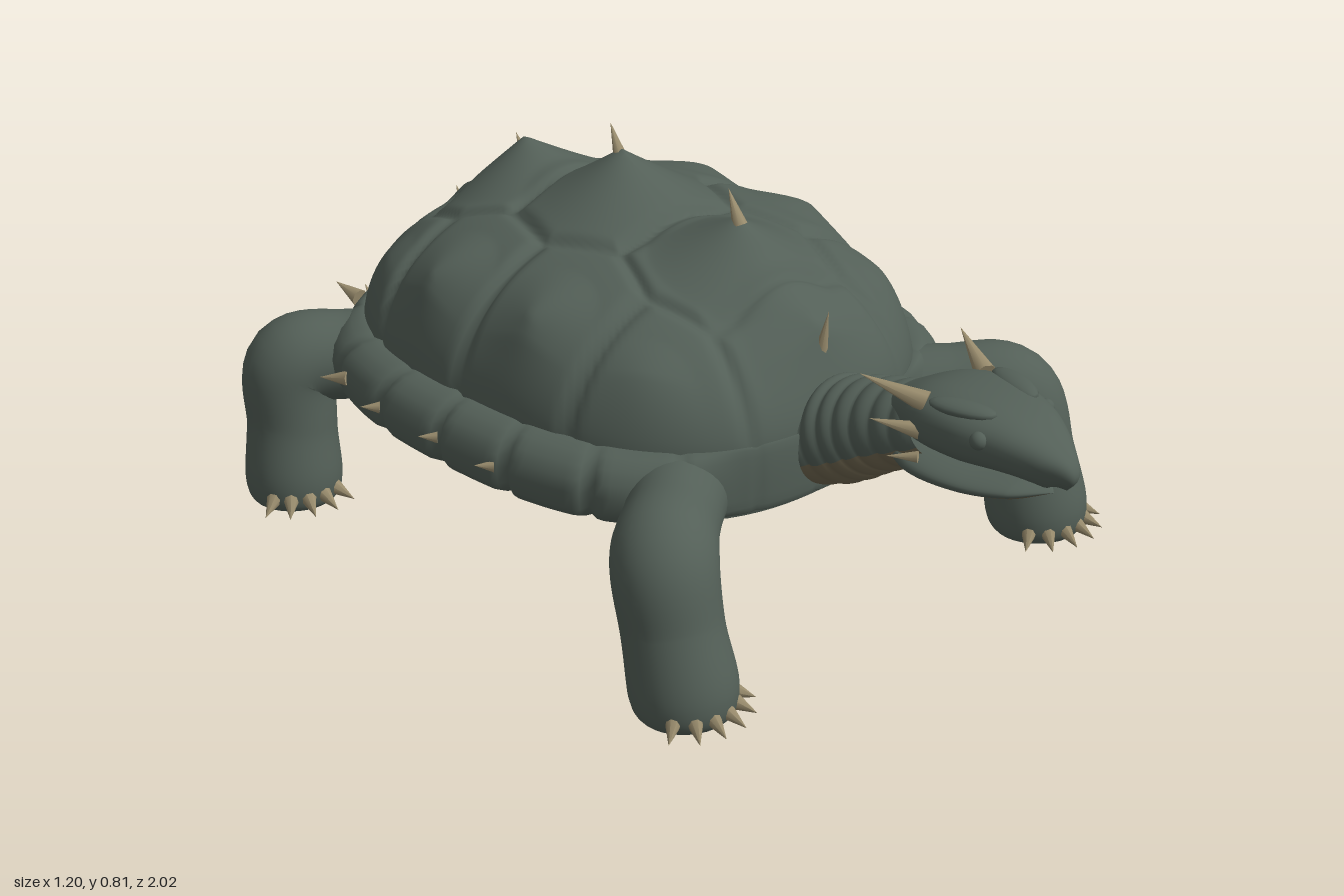
import * as THREE from 'three';

const mat = (name, color) => {
  const m = new THREE.MeshStandardMaterial({ color });
  m.name = name;
  return m;
};
const V = (x, y, z) => new THREE.Vector3(x, y, z);
const pow = (n, e) => Math.sign(n) * Math.abs(n) ** e;

// Grid surface: rows along u, rings along v (optionally closed)
function surface(fn, nu, nv, closed = true) {
  const pos = [], idx = [], cols = closed ? nv : nv + 1;
  for (let i = 0; i <= nu; i++)
    for (let j = 0; j < cols; j++) pos.push(...fn(i / nu, j / nv));
  for (let i = 0; i < nu; i++)
    for (let j = 0; j < nv; j++) {
      const k = (j + 1) % cols, a = i * cols + j, b = i * cols + k;
      idx.push(a, b, a + cols, b, b + cols, a + cols);
    }
  const g = new THREE.BufferGeometry();
  g.setAttribute('position', new THREE.Float32BufferAttribute(pos, 3));
  g.setIndex(idx);
  g.computeVertexNormals();
  return g;
}

// Tapered tube through [x, y, z, rx, ry] stations; round < 1 gives a boxier section
function limb(st, { ref = V(0, 1, 0), seg = 40, sides = 28, rings = 0, from = 0, to = 360, round = 1 } = {}) {
  const path = new THREE.CatmullRomCurve3(st.map(p => V(p[0], p[1], p[2])));
  const size = new THREE.CatmullRomCurve3(st.map((p, i) => V(p[3], p[4] ?? p[3], i * 0.1)));
  return surface((u, v) => {
    const c = path.getPoint(u), t = path.getTangent(u), r = size.getPoint(u);
    const side = ref.clone().cross(t).normalize(), up = t.clone().cross(side);
    const a = THREE.MathUtils.degToRad(from + (to - from) * v);
    const k = rings ? 1 + 0.07 * (Math.abs(Math.sin(u * rings * Math.PI)) - 0.5) : 1;
    c.addScaledVector(side, Math.max(0, r.x) * k * pow(Math.cos(a), round));
    c.addScaledVector(up, Math.max(0, r.y) * k * pow(Math.sin(a), round));
    return [c.x, c.y, c.z];
  }, seg, sides, to - from === 360);
}

// Rounded-rectangle outline of the shell
const A = 0.445, B = 0.55, ZC = -0.085, N = 2.6;
function outline(th) {
  const c = Math.cos(th), s = Math.sin(th);
  const k = (Math.abs(c) ** N + Math.abs(s) ** N) ** (-1 / N);
  return [k * c, k * s];
}

// Scute centres: x, z, bump height, bump radius
const scutes = [[0, 0.4, 0.05, 0.15], [0, 0.195, 0.085, 0.17], [0, -0.12, 0.105, 0.2],
  [0, -0.4, 0.085, 0.17], [0, -0.59, 0.05, 0.1]];
const plates = [];
for (const s of [1, -1]) {
  for (const z of [0.31, 0.03, -0.25, -0.5]) scutes.push([0.375 * s, z, 0.04, 0.13]);
  for (const z of [0.36, 0.18, 0, -0.18, -0.36, -0.52]) {
    plates.push([0.12 * s, z], [0.34 * s, z - 0.05]);
  }
}
// Seam strength between neighbouring cells
function seam(cells, x, z) {
  const d = cells.map(c => Math.hypot(x - c[0], z - c[1])).sort((a, b) => a - b);
  return Math.exp(-(((d[1] - d[0]) / 0.026) ** 2));
}
function shellPoint(r, th) {
  const [ox, oz] = outline(th);
  const x = A * r * ox, z = ZC + B * r * oz;
  const p = 2.7 + 0.15 * Math.cos(th) ** 2;
  let y = 0.37 + 0.285 * Math.max(0, 1 - r ** p) ** 0.53;
  for (const [cx, cz, h, w] of scutes)
    y += h * Math.max(0, 1 - Math.hypot(x - cx, z - cz) / w) ** 1.3 * Math.min(1, (1 - r) * 10);
  const g = seam(scutes, x, z);
  return [x * (1 - 0.018 * g), y - 0.014 * g, z];
}

export function createModel() {
  const model = new THREE.Group();
  const skin = mat('grey green hide', 0x535f57), throat = mat('throat tan', 0x706750);
  const belly = mat('belly plate tan', 0x8a7f68), horn = mat('horn', 0x9a8d6e);
  const add = (name, geo, m) => {
    const mesh = new THREE.Mesh(geo, m);
    mesh.name = name;
    model.add(mesh);
    return mesh;
  };
  const spike = (name, base, tip, r) => {
    const a = V(...base), d = V(...tip).sub(a), len = d.length();
    const m = add(name, new THREE.ConeGeometry(r, len, 8), horn);
    m.position.copy(a).addScaledVector(d, 0.5);
    m.quaternion.setFromUnitVectors(V(0, 1, 0), d.normalize());
  };
  const TAU = Math.PI * 2;

  // Domed shell
  add('shell', surface((u, v) => shellPoint(1 - (1 - u) ** 1.3, v * TAU), 64, 240), skin);

  // Scalloped rim scutes, sloping outward from the dome
  add('shellRim', surface((u, v) => {
    const th = u * TAU, [ox, oz] = outline(th), f = v * TAU;
    const c = Math.cos(f), s = Math.sin(f);
    const b = 0.72 + 0.28 * Math.min(1, 3 * Math.abs(Math.sin(11 * th)));
    const w = (0.008 + 0.067 * THREE.MathUtils.smoothstep(Math.abs(Math.cos(th)), 0.45, 0.85)) * b;
    const out = w * pow(c, s > 0 ? 1 : 0.7);
    return [A * ox + out * Math.cos(th), 0.33 + 0.068 * (0.8 + 0.2 * b) * pow(s, s > 0 ? 1 : 0.7),
      ZC + B * oz + out * Math.sin(th)];
  }, 264, 16), skin);

  // Body wall under the rim, and the plated bowl of the underside
  add('bodyWall', surface((u, v) => {
    const [ox, oz] = outline(v * TAU), k = 1 - 0.04 * u * u;
    return [A * k * ox, 0.38 - 0.135 * u, ZC + B * k * oz];
  }, 8, 96), skin);
  add('underside', surface((u, v) => {
    const [ox, oz] = outline(-v * TAU), k = 0.96 * u;
    const x = A * k * ox, z = ZC + B * k * oz;
    return [x, 0.163 + 0.087 * u ** 4 + 0.012 * seam(plates, x, z) * (1 - u ** 8), z];
  }, 48, 160), belly);

  // Neck, tail and jaw, each with a hide back and a tan underside
  const neck = [[0, 0.34, 0.34, 0.13, 0.1], [0, 0.375, 0.47, 0.112, 0.1], [0, 0.425, 0.58, 0.1, 0.085],
    [0, 0.48, 0.71, 0.088, 0.068]];
  const tail = [[0, 0.31, -0.52, 0.1], [0, 0.275, -0.67, 0.078], [0, 0.19, -0.84, 0.042], [0, 0.105, -1, 0]];
  const jaw = [[0, 0.435, 0.62, 0.06, 0.03], [0, 0.422, 0.71, 0.098, 0.032], [0, 0.42, 0.82, 0.092, 0.025],
    [0, 0.427, 0.91, 0.06, 0.017], [0, 0.434, 0.97, 0, 0]];
  for (const [name, st, rings] of [['neck', neck, 9], ['tail', tail, 12], ['jaw', jaw, 0]]) {
    add(name, limb(st, { rings, seg: 96, from: -22, to: 202 }), skin);
    add(name + 'Underside', limb(st, { rings, seg: 96, from: 202, to: 338 }), throat);
  }

  // Boxy head with a blunt beak, the mouth slightly open
  add('skull', limb([[0, 0.49, 0.64, 0.06, 0.04], [0, 0.515, 0.73, 0.105, 0.057], [0, 0.519, 0.82, 0.11, 0.06],
    [0, 0.512, 0.9, 0.086, 0.053], [0, 0.49, 0.96, 0.052, 0.042], [0, 0.467, 0.99, 0.022, 0.034],
    [0, 0.45, 0.998, 0, 0]], { round: 0.78, sides: 36 }), skin);
  for (const s of [1, -1]) {
    const eye = add('eye', new THREE.SphereGeometry(0.017, 14, 10), skin);
    eye.position.set(0.09 * s, 0.532, 0.87);
    const brow = add('brow', new THREE.SphereGeometry(1, 16, 10), skin);
    brow.scale.set(0.026, 0.014, 0.065);
    brow.position.set(0.07 * s, 0.567, 0.815);
    brow.rotation.y = -0.3 * s;
    spike('crownHorn', [0.08 * s, 0.555, 0.74], [0.135 * s, 0.592, 0.63], 0.021);
    spike('cheekHorn', [0.095 * s, 0.505, 0.74], [0.145 * s, 0.52, 0.665], 0.017);
    spike('jawHorn', [0.085 * s, 0.445, 0.73], [0.115 * s, 0.44, 0.68], 0.011);
  }

  // Legs with claws
  const legs = [
    ['front', [[0.22, 0.29, 0.28, 0.1], [0.37, 0.3, 0.4, 0.09], [0.467, 0.285, 0.48, 0.098], [0.485, 0.17, 0.52, 0.094],
      [0.487, 0.06, 0.55, 0.1], [0.487, 0.015, 0.555, 0.083], [0.487, 0, 0.555, 0]],
      V(-0.62, 0, 0.78), [-58, -35, -12, 10, 32, 56], [0.487, 0.55]],
    ['rear', [[0.22, 0.29, -0.4], [0.36, 0.3, -0.53], [0.455, 0.29, -0.59], [0.472, 0.17, -0.585],
      [0.482, 0.06, -0.575], [0.482, 0.015, -0.575], [0.482, 0, -0.575]].map((p, i) =>
      [...p, [0.1, 0.09, 0.095, 0.09, 0.097, 0.082, 0][i]]),
      V(0.7, 0, 0.7), [-25, -2, 20, 42, 64], [0.482, -0.575]],
  ];
  for (const s of [1, -1])
    for (const [name, st, ref, angles, [fx, fz]] of legs) {
      add(name + 'Leg', limb(st.map(([x, ...rest]) => [x * s, ...rest]),
        { ref: V(ref.x * s, 0, ref.z), seg: 54, sides: 32 }), skin);
      for (const deg of angles) {
        const a = THREE.MathUtils.degToRad(deg), dx = Math.sin(a), dz = Math.cos(a);
        spike(name + 'Claw', [(fx + dx * 0.08) * s, 0.05, fz + dz * 0.08],
          [(fx + dx * 0.133) * s, 0.024, fz + dz * 0.133], 0.02);
      }
    }

  // Spikes down the middle of the shell: z, base y, tip y
  for (const [z, y0, y1] of [[0.41, 0.5, 0.6], [0.2, 0.7, 0.765], [-0.12, 0.735, 0.805],
    [-0.395, 0.65, 0.705], [-0.585, 0.46, 0.535]])
    spike('shellSpike', [0, y0, z], [0, y1, z - 0.03 + (z > 0.4 ? 0.05 : 0)], 0.015);

  // Rim spikes
  for (const s of [1, -1]) {
    for (const z of [0.07, -0.09, -0.26]) spike('rimSpike', [0.505 * s, 0.33, z], [0.532 * s, 0.332, z - 0.025], 0.012);
    spike('rimSpike', [0.475 * s, 0.335, -0.39], [0.5 * s, 0.325, -0.45], 0.016);
    for (const x of [0.13, 0.26]) spike('rearRimSpike', [x * s, 0.36, -0.62], [x * s, 0.372, -0.695], 0.018);
  }

  // Tail ridge
  for (let i = 0; i < 8; i++) {
    const z = -0.65 - i * 0.036, y = 0.36 - i * 0.0248, k = 1 - i * 0.06;
    spike('tailSpike', [0, y - 0.018, z], [0, y + 0.032 * k, z - 0.055 * k], 0.019 * k);
  }
  return model;
}
